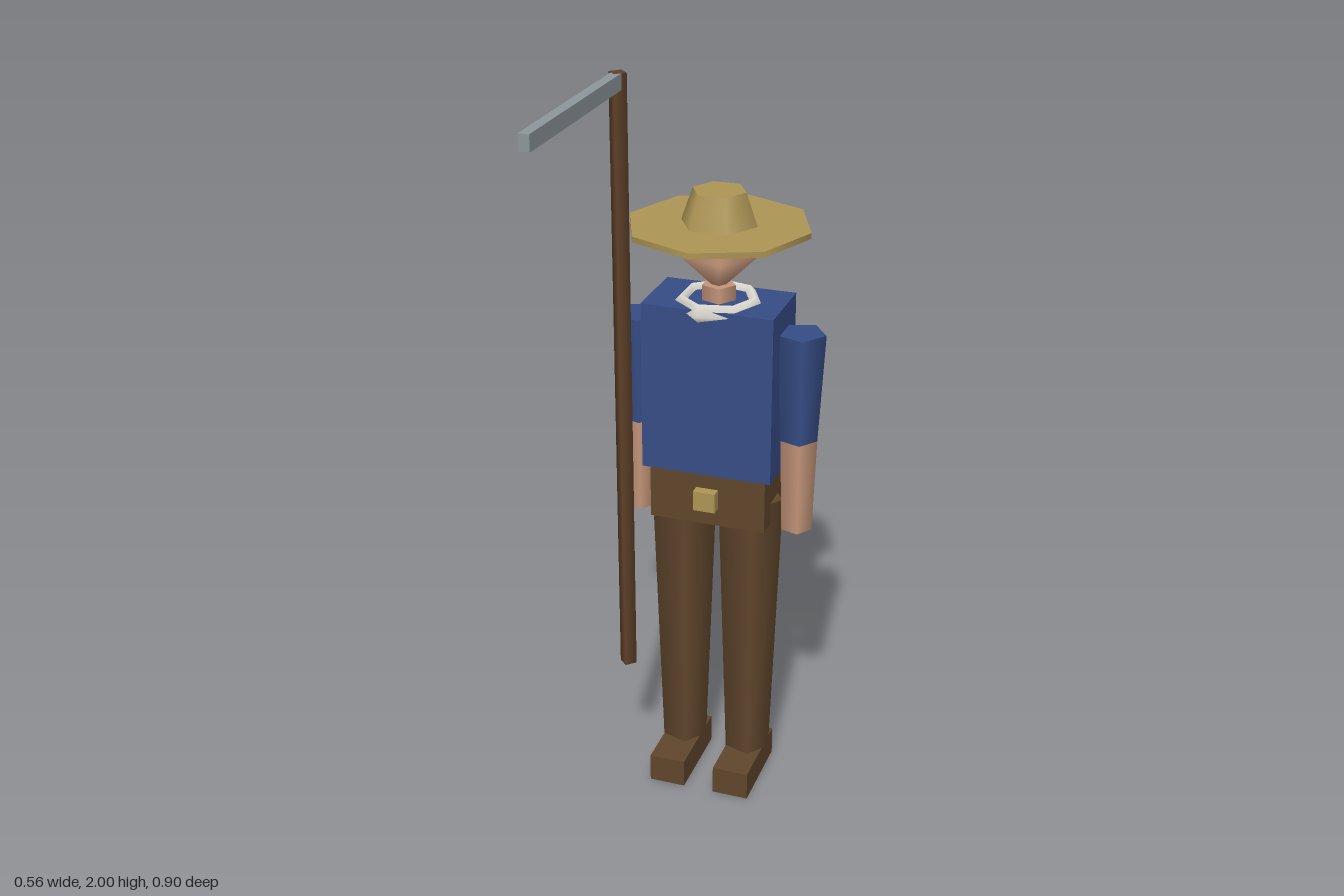
import * as THREE from 'three';

const mat = (name, color) => {
  const m = new THREE.MeshStandardMaterial({ color });
  m.name = name;
  return m;
};

export function createModel() {
  const straw = mat('straw', 0xae9555);
  const blue = mat('blue shirt', 0x364d86);
  const brown = mat('brown cloth', 0x60462c);
  const wood = mat('wood', 0x5f4129);
  const skin = mat('skin', 0xc4957a);
  const steel = mat('steel', 0x8d969b);
  const white = mat('white scarf', 0xe2dfd6);

  const model = new THREE.Group();
  model.name = 'farmer';
  const CX = -0.007, CZ = -0.21; // body axis

  const add = (name, geometry, material, x, y, z) => {
    const mesh = new THREE.Mesh(geometry, material);
    mesh.name = name;
    mesh.position.set(x, y, z);
    model.add(mesh);
    return mesh;
  };
  // box from y0 to y1
  const box = (name, material, w, d, y0, y1, x, z) =>
    add(name, new THREE.BoxGeometry(w, y1 - y0, d), material, x, (y0 + y1) / 2, z);
  // tapered prism from y0 to y1, one corner pointing to +x
  const prism = (name, material, sides, rBottom, rTop, y0, y1, x, z = CZ) =>
    add(name, new THREE.CylinderGeometry(rTop, rBottom, y1 - y0, sides).rotateY(Math.PI / 2),
      material, x, (y0 + y1) / 2, z);

  // limbs
  for (const [side, s] of [['left', 1], ['right', -1]]) {
    box(side + 'Shoe', brown, 0.1, 0.24, 0, 0.08, CX + s * 0.0925, -0.175);
    prism(side + 'Leg', brown, 5, 0.063, 0.0895, 0.08, 0.87, CX + s * 0.0925);
    prism(side + 'Sleeve', blue, 5, 0.05, 0.065, 1.055, 1.35, CX + s * 0.22);
    prism(side + 'Forearm', skin, 5, 0.042, 0.05, 0.795, 1.055, CX + s * 0.22);
  }

  // trunk
  box('hips', brown, 0.315, 0.175, 0.81, 0.96, CX, CZ);
  box('buckle', straw, 0.06, 0.03, 0.86, 0.915, CX, -0.11);
  box('torso', blue, 0.35, 0.2, 0.96, 1.415, CX, CZ);

  // neckerchief and head
  add('neckerchief', new THREE.TorusGeometry(0.097, 0.026, 4, 7).rotateX(Math.PI / 2),
    white, CX, 1.404, CZ);
  prism('neck', skin, 5, 0.045, 0.045, 1.39, 1.455, CX);
  add('head', new THREE.SphereGeometry(0.1, 5, 2).rotateY(Math.PI), skin, CX, 1.535, CZ);

  // straw hat
  prism('hatBrim', straw, 8, 0.238, 0.238, 1.6, 1.615, CX);
  prism('hatCrown', straw, 6, 0.1, 0.07, 1.615, 1.7, CX);

  // scythe
  prism('scytheShaft', wood, 4, 0.0235, 0.0235, 0.35, 2, -0.228, -0.101);
  box('scytheBlade', steel, 0.027, 0.55, 1.96, 2.0, -0.228, 0.175);

  return model;
}
